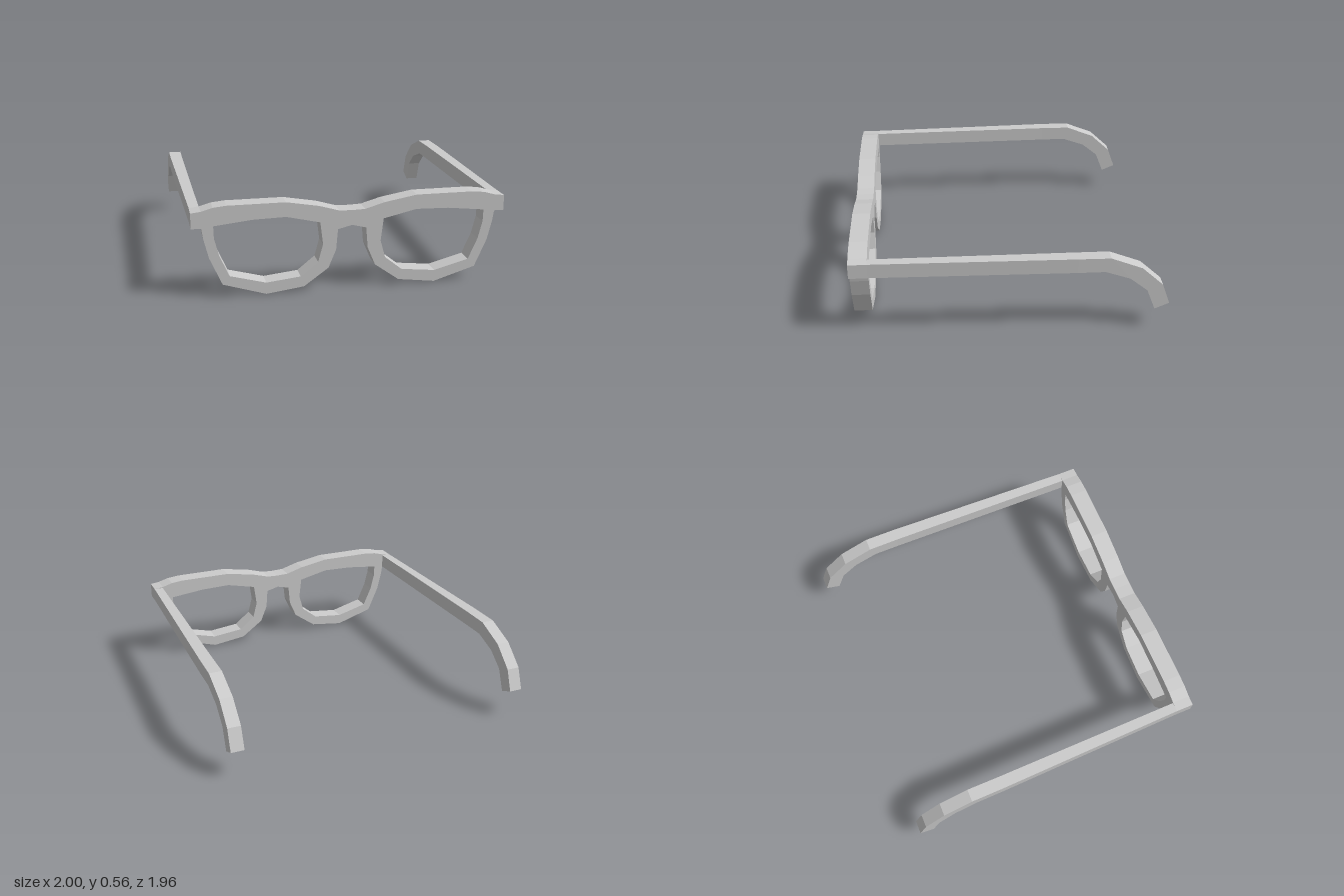
import * as THREE from 'three';

const material = new THREE.MeshStandardMaterial({ color: 0xcccccc, flatShading: true });

// Left half of the front's outline, clockwise from top centre to bottom centre
const OUTLINE = [
  [0.08, 0.495], [0.2, 0.53], [0.4, 0.565], [0.75, 0.565], [0.83, 0.557], [0.9, 0.537], [0.96, 0.53],
  [0.96, 0.435], [0.9, 0.435], [0.89, 0.37], [0.86, 0.25], [0.785, 0.08], [0.525, 0],
  [0.295, 0.03], [0.145, 0.138], [0.098, 0.25], [0.087, 0.378],
];

// Left lens opening, counter-clockwise
const OPENING = [
  [0.178, 0.29], [0.208, 0.18], [0.315, 0.095], [0.525, 0.072], [0.742, 0.13], [0.8, 0.26],
  [0.828, 0.37], [0.83, 0.445], [0.6, 0.47], [0.4, 0.475], [0.195, 0.428],
];

// Temple cross-sections: top z, top y, bottom z, bottom y, inner x, outer x
const TEMPLE = [
  [0.863, 0.53, 0.863, 0.435, 0.9, 0.96],
  [-0.4, 0.53, -0.4, 0.433, 0.915, 0.995],
  [-0.6, 0.528, -0.57, 0.433, 0.915, 0.997],
  [-0.795, 0.45, -0.725, 0.378, 0.915, 0.998],
  [-0.93, 0.325, -0.835, 0.288, 0.915, 0.999],
  [-0.98, 0.188, -0.89, 0.15, 0.915, 1],
];

const mirror = (points) => points.map(([x, y]) => [-x, y]).reverse();
const toVectors = (points) => points.map(([x, y]) => new THREE.Vector2(x, y));

// Flat front frame with two lens openings
function frontFrame() {
  const shape = new THREE.Shape(toVectors([[0, 0.492], ...OUTLINE, [0, 0.4], ...mirror(OUTLINE)]));
  for (const opening of [OPENING, mirror(OPENING)]) {
    shape.holes.push(new THREE.Path(toVectors(opening)));
  }
  const geometry = new THREE.ExtrudeGeometry(shape, { depth: 0.115, bevelEnabled: false });
  geometry.translate(0, 0, 0.863);
  return geometry;
}

// Temple arm lofted through its four-cornered sections; side is +1 (left) or -1 (right)
function temple(side) {
  const positions = [];
  const index = [];
  const quad = (a, b, c, d) => index.push(...(side > 0 ? [a, b, c, a, c, d] : [a, c, b, a, d, c]));
  TEMPLE.forEach(([tz, ty, bz, by, inner, outer], i) => {
    positions.push(
      side * inner, ty, tz, side * outer, ty, tz,
      side * outer, by, bz, side * inner, by, bz,
    );
    if (i === 0) return;
    const near = (i - 1) * 4;
    const far = i * 4;
    for (let k = 0; k < 4; k++) {
      const n = (k + 1) % 4;
      quad(near + k, near + n, far + n, far + k);
    }
  });
  // End caps
  const end = (TEMPLE.length - 1) * 4;
  quad(3, 2, 1, 0);
  quad(end, end + 1, end + 2, end + 3);
  const geometry = new THREE.BufferGeometry();
  geometry.setAttribute('position', new THREE.Float32BufferAttribute(positions, 3));
  geometry.setIndex(index);
  const flat = geometry.toNonIndexed();
  flat.computeVertexNormals();
  return flat;
}

export function createModel() {
  const group = new THREE.Group();
  group.name = 'glasses';
  const add = (name, geometry) => {
    const mesh = new THREE.Mesh(geometry, material);
    mesh.name = name;
    group.add(mesh);
  };
  add('frontFrame', frontFrame());
  add('leftTemple', temple(1));
  add('rightTemple', temple(-1));
  return group;
}
